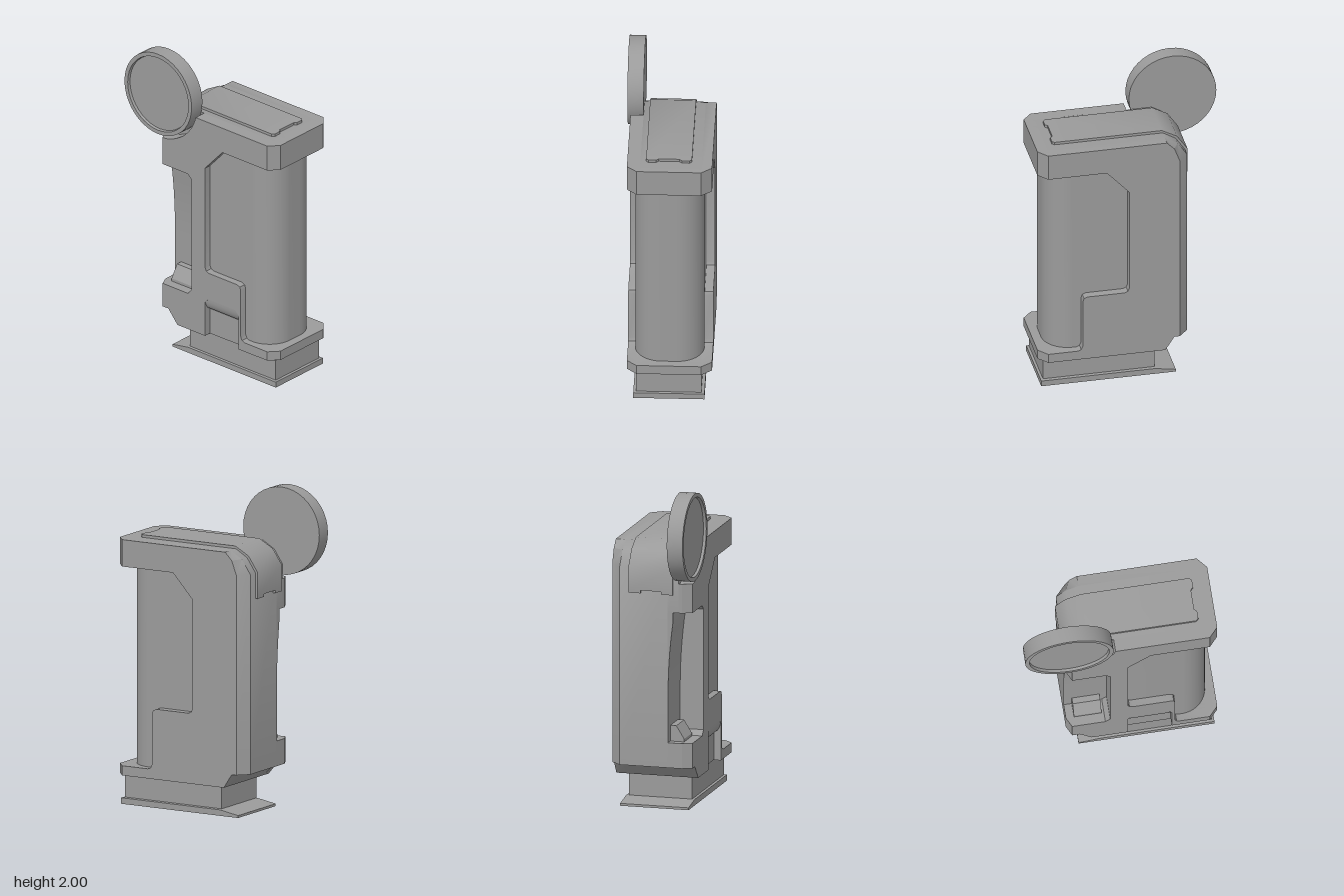
import * as THREE from 'three';
import { toCreasedNormals } from 'three/addons/utils/BufferGeometryUtils.js';

const grey = new THREE.MeshStandardMaterial({ color: 0x9b9b9b });

export function createModel() {
  const model = new THREE.Group();
  const add = (name, geo, parent = model) => {
    const mesh = new THREE.Mesh(geo, grey);
    mesh.name = name;
    parent.add(mesh);
    return mesh;
  };
  const shape = (pts) => new THREE.Shape(pts.map(([x, y]) => new THREE.Vector2(x, y)));
  // extrude an x-y outline between two z values
  const slab = (pts, z0, z1) =>
    new THREE.ExtrudeGeometry(shape(pts), { depth: z1 - z0, bevelEnabled: false }).translate(0, 0, z0);
  // extrude a z-y outline between two x values
  const sideSlab = (pts, x0, x1) =>
    new THREE.ExtrudeGeometry(shape(pts.map(([z, y]) => [-z, y])), { depth: x1 - x0, bevelEnabled: false })
      .rotateY(Math.PI / 2).translate(x0, 0, 0);
  const box = (x0, x1, y0, y1, z0, z1) =>
    new THREE.BoxGeometry(x1 - x0, y1 - y0, z1 - z0)
      .translate((x0 + x1) / 2, (y0 + y1) / 2, (z0 + z1) / 2);

  const disc = { x: -0.325, y: 1.727, r: 0.273 };

  // housing outline, with optional finger recess, lower pocket and disc clearance
  function outline({ grip, front }) {
    const pts = [[-0.185, 0.188]];
    if (front) pts.push([0.04, 0.188], [0.04, 0.42], [0.065, 0.445], [0.285, 0.445], [0.31, 0.42], [0.31, 0.188]);
    pts.push([0.6, 0.188], [0.6, 0.248], [0.36, 0.248], [0.34, 0.257], [0.33, 0.28], [0.33, 0.595], [0.322, 0.616],
      [0.3, 0.625], [0.07, 0.625], [0.049, 0.634], [0.04, 0.655], [0.04, 1.335], [0.18, 1.488], [0.6, 1.488], [0.6, 1.655]);
    if (front) {
      for (let i = 0; i <= 16; i++) {
        const a = THREE.MathUtils.degToRad(-14 - (78 * i) / 16);
        pts.push([disc.x + 0.297 * Math.cos(a), disc.y + 0.297 * Math.sin(a)]);
      }
    } else pts.push([-0.195, 1.655], [-0.275, 1.608], [-0.335, 1.52]);
    if (grip) pts.push([-0.335, 1.248], [-0.1, 1.248], [-0.07, 1.22], [-0.07, 0.465], [-0.1, 0.432], [-0.335, 0.432]);
    pts.push([-0.335, 0.275], [-0.275, 0.275]);
    return pts;
  }

  // housing built in depth layers; the outer end faces are narrowed to chamfer the corners
  const housing = new THREE.Group();
  housing.name = 'housing';
  model.add(housing);
  const layers = [
    ['backCover', -0.27, -0.205, {}],
    ['core', -0.205, 0.1, {}],
    ['gripLayer', 0.1, 0.17, { grip: true }],
    ['frontLayer', 0.17, 0.19, { grip: true, front: true }],
    ['frontCover', 0.19, 0.25, { grip: true, front: true }],
  ];
  for (const [name, z0, z1, cuts] of layers) {
    const geo = slab(outline(cuts), z0, z1);
    const p = geo.attributes.position;
    for (let i = 0; i < p.count; i++) {
      const x = p.getX(i), z = p.getZ(i);
      if (z > -0.26 && z < 0.24) continue;
      if (x < -0.2) p.setX(i, -0.2 + (x + 0.2) * (z < 0 ? 0.556 : 0.78));
      else p.setX(i, Math.min(x, 0.545));
    }
    add(name, toCreasedNormals(geo, 0.6), housing);
  }

  // rounded column filling the side opening
  const r = 0.165, zf = 0.205, zb = -0.217, xr = 0.545;
  const column = new THREE.Shape();
  column.moveTo(0.035, -zf);
  column.lineTo(xr - r, -zf);
  column.absarc(xr - r, -zf + r, r, -Math.PI / 2, 0, false);
  column.absarc(xr - r, -zb - r, r, 0, Math.PI / 2, false);
  column.lineTo(0.035, -zb);
  add('column', toCreasedNormals(
    new THREE.ExtrudeGeometry(column, { depth: 1.3, bevelEnabled: false, curveSegments: 16 })
      .rotateX(-Math.PI / 2).translate(0, 0.22, 0), 0.6));

  // finger recess: floor that curves deeper below its upper end, and a small block at its foot
  const floor = [[0.09, 0.432], [0.09, 1.25], [0.132, 1.25]];
  for (let i = 0; i <= 10; i++) {
    const t = i / 10;
    floor.push([0.102 + 0.03 * (1 - t) ** 2, 1.18 - 0.45 * t]);
  }
  floor.push([0.102, 0.432]);
  add('gripFloor', toCreasedNormals(sideSlab(floor, -0.335, -0.07), 0.5));
  add('gripBlock', sideSlab([[0.1, 0.432], [0.1, 0.53], [0.14, 0.53], [0.19, 0.45], [0.19, 0.432]], -0.285, -0.115));

  // lower pocket: flat floor with a rounded-over upper end
  const pocket = [[0.17, 0.445], [0.17, 0.19], [0.206, 0.19]];
  for (let i = 0; i <= 8; i++) {
    const a = (1 - i / 8) * Math.PI / 2;
    pocket.push([0.206 + 0.043 * Math.cos(a), 0.445 - 0.08 * Math.sin(a)]);
  }
  add('pocketFloor', toCreasedNormals(sideSlab(pocket, 0.04, 0.31), 0.5));

  // swung-out round cover with a shallow face inside its rim
  const rim = [[0, 0], [disc.r, 0], [disc.r, 0.1], [0.247, 0.1], [0.243, 0.083], [0, 0.083]]
    .map(([x, y]) => new THREE.Vector2(x, y));
  const cover = add('roundCover', toCreasedNormals(new THREE.LatheGeometry(rim, 40), 0.5));
  cover.rotation.x = Math.PI / 2;
  cover.position.set(disc.x, disc.y, 0.17);

  // strap over the top, with paired tabs at both ends
  const strap = new THREE.Group();
  strap.name = 'topStrap';
  model.add(strap);
  add('strapBand', toCreasedNormals(slab([[0.478, 1.64], [0.478, 1.672], [-0.19, 1.672], [-0.285, 1.62], [-0.35, 1.525],
    [-0.35, 1.378], [-0.31, 1.378], [-0.31, 1.5], [-0.26, 1.58], [-0.18, 1.64]], -0.145, 0.135), 0.65), strap);
  for (const [za, zb2] of [[-0.145, -0.07], [0.06, 0.135]]) {
    const tab = shape([[0.47, -za], [0.48, -za], [0.494, -za - 0.015], [0.494, -zb2 + 0.015], [0.48, -zb2], [0.47, -zb2]]);
    add('strapTab', new THREE.ExtrudeGeometry(tab, { depth: 0.032, bevelEnabled: false })
      .rotateX(-Math.PI / 2).translate(0, 1.64, 0), strap);
    add('strapEndTab', box(-0.35, -0.31, 1.36, 1.38, za, zb2), strap);
  }

  // hollow foot: rectangular cross-sections from the cavity roof, round the lip, up the outside
  const ring = (x0, x1, z0, z1, yl, y = yl) => {
    const xm = Math.max(x0, -0.13);
    return [[x0, yl, z1], [xm, y, z1], [x1, y, z1], [x1, y, z0], [xm, y, z0], [x0, yl, z0]];
  };
  const rings = [
    ring(-0.08, 0.51, -0.15, 0.14, 0.19),
    ring(-0.08, 0.51, -0.15, 0.14, 0.05),
    ring(-0.25, 0.57, -0.215, 0.2, 0),
    ring(-0.26, 0.58, -0.225, 0.21, 0),
    ring(-0.26, 0.58, -0.225, 0.21, 0.015, 0.037),
    ring(-0.13, 0.565, -0.205, 0.195, 0.04),
    ring(-0.13, 0.565, -0.205, 0.195, 0.19),
  ];
  const verts = [];
  for (let k = 0; k + 1 < rings.length; k++) {
    for (let i = 0; i < 6; i++) {
      const j = (i + 1) % 6, a = rings[k], b = rings[k + 1];
      verts.push(...a[i], ...a[j], ...b[j], ...a[i], ...b[j], ...b[i]);
    }
  }
  const foot = new THREE.BufferGeometry();
  foot.setAttribute('position', new THREE.Float32BufferAttribute(verts, 3));
  foot.computeVertexNormals();
  add('foot', foot);
  add('cavityDivider', box(0.16, 0.21, 0.11, 0.19, -0.15, 0.14));

  return model;
}
